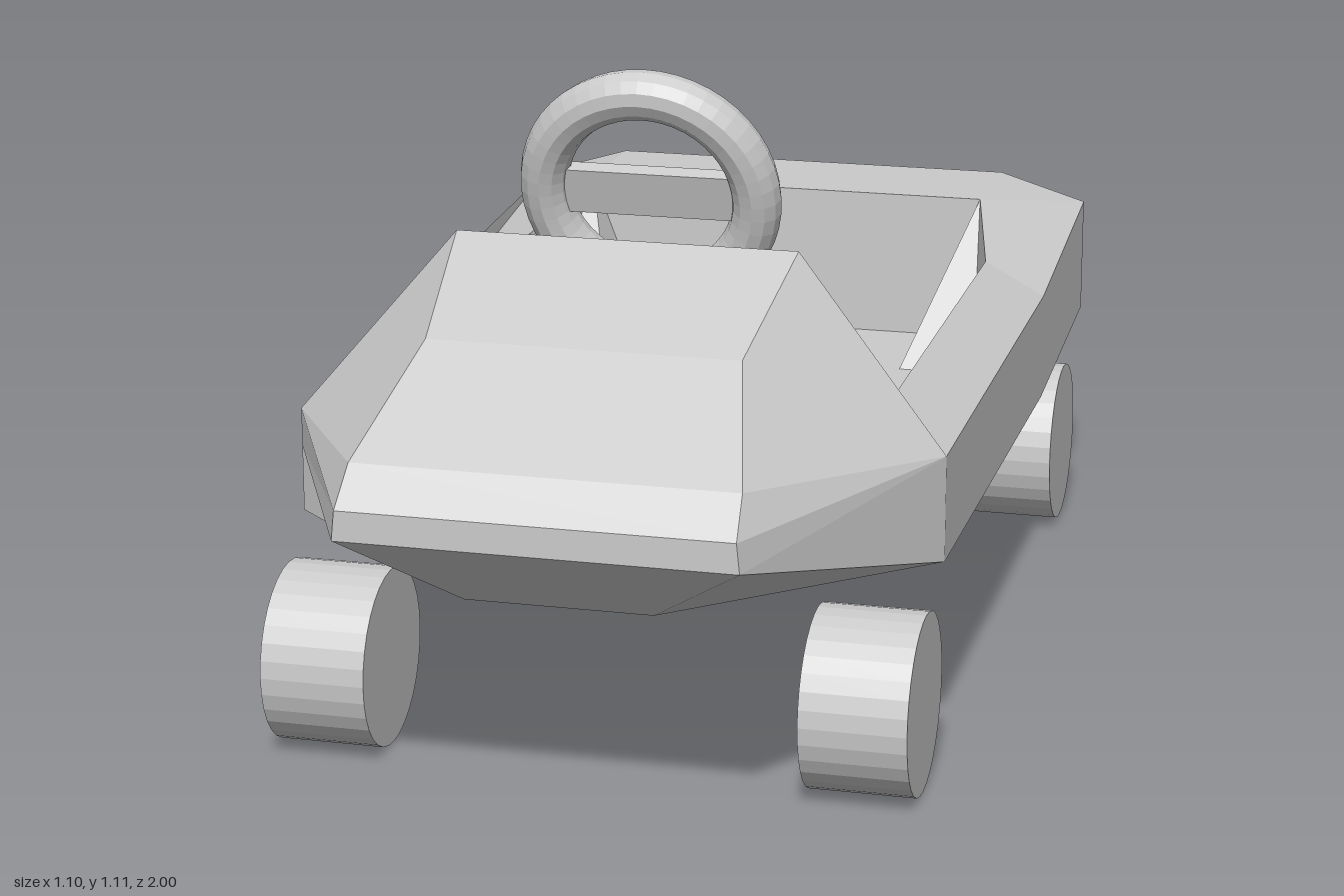
import * as THREE from 'three';

const material = new THREE.MeshStandardMaterial({ color: 0xcccccc, flatShading: true });
const shellMaterial = new THREE.MeshStandardMaterial({ color: 0xcccccc, flatShading: true, side: THREE.DoubleSide });

// Corner points of the +x half; a leading '-' names the mirrored point
const POINTS = {
  // hood edge, from cockpit to nose tip
  A: [0.29, 0.85, 0.44], B: [0.26, 0.74, 0.71], C: [0.315, 0.6, 0.94], D: [0.32, 0.54, 1],
  // belt line and gunwale
  E: [0.55, 0.54, 0.5], F: [0.44, 0.6, 0.44], M: [0.55, 0.54, -0.5], Q: [0.44, 0.6, -0.5],
  // rear deck
  P: [0.385, 0.655, -0.75], K: [0.385, 0.65, -1], L: [0.55, 0.6, -1],
  // chin and underside
  d: [0.325, 0.49, 1], e: [0.55, 0.475, 0.5], G: [0.155, 0.36, 0.86],
  H: [0.55, 0.36, 0.5], N: [0.55, 0.345, -0.5], b: [0.55, 0.385, -1],
  // cockpit floor
  R: [0.28, 0.38, -0.75], S: [0.28, 0.38, -0.5], T: [0.42, 0.38, -0.5],
  U: [0.42, 0.38, 0.5], V: [0.15, 0.38, 0.84],
};

function point(name) {
  if (name[0] !== '-') return POINTS[name];
  const [x, y, z] = POINTS[name.slice(1)];
  return [-x, y, z];
}

// Builds a panel mesh from polygons given as point names, fanned into triangles
function panels(name, sideFaces, centreFaces) {
  const positions = [];
  const add = (corners) => {
    for (let i = 1; i < corners.length - 1; i++) {
      positions.push(...corners[0], ...corners[i], ...corners[i + 1]);
    }
  };
  for (const face of sideFaces) {
    const corners = face.split(' ').map(point);
    add(corners);
    add(corners.map(([x, y, z]) => [-x, y, z]).reverse());
  }
  for (const face of centreFaces) add(face.split(' ').map(point));
  const geometry = new THREE.BufferGeometry();
  geometry.setAttribute('position', new THREE.Float32BufferAttribute(positions, 3));
  geometry.computeVertexNormals();
  const mesh = new THREE.Mesh(geometry, shellMaterial);
  mesh.name = name;
  return mesh;
}

function createBody() {
  const body = new THREE.Group();
  body.name = 'body';
  body.add(
    panels('hood', ['A B E', 'A E F', 'B C E', 'C D E'],
      ['-A -B B A', '-B -C C B', '-C -D D C', 'A F -F -A']),
    panels('nose', ['d e E D', 'd G H e'], ['-D -d d D', '-d -G G d']),
    panels('sidePanels', ['M E H N b L', 'E M Q F'], []),
    panels('rearDeck', ['K P L', 'P Q L', 'L Q M'], ['K -K -P P', 'b -b -L -K K L']),
    panels('underside', [], ['G -G -H H', 'H -H -N N', 'N -N -b b']),
    panels('cockpit', ['P R S', 'P S T', 'P T Q', 'Q T U F'],
      ['-R -S S R', '-T -U U T', '-U -V V U', 'P -P -R R']),
  );
  return body;
}

function createSteeringWheel() {
  const wheel = new THREE.Group();
  wheel.name = 'steeringWheel';
  const rim = new THREE.Mesh(new THREE.TorusGeometry(0.183, 0.042, 12, 48), material);
  rim.name = 'steeringRim';
  const bar = new THREE.Mesh(new THREE.BoxGeometry(0.34, 0.08, 0.03), material);
  bar.name = 'steeringCrossbar';
  wheel.add(rim, bar);
  wheel.position.set(0, 0.895, 0.28);
  wheel.rotation.x = 0.285;
  return wheel;
}

export function createModel() {
  const model = new THREE.Group();
  model.name = 'pedalCar';
  model.add(createBody(), createSteeringWheel());

  // Four free-standing drum wheels
  const wheelGeometry = new THREE.CylinderGeometry(0.152, 0.152, 0.178, 32);
  wheelGeometry.rotateZ(Math.PI / 2);
  for (const [end, z] of [['front', 0.607], ['rear', -0.847]]) {
    for (const [side, sign] of [['Left', 1], ['Right', -1]]) {
      const wheel = new THREE.Mesh(wheelGeometry, material);
      wheel.name = `${end}${side}Wheel`;
      wheel.position.set(sign * 0.452, 0.152, z);
      model.add(wheel);
    }
  }
  return model;
}
